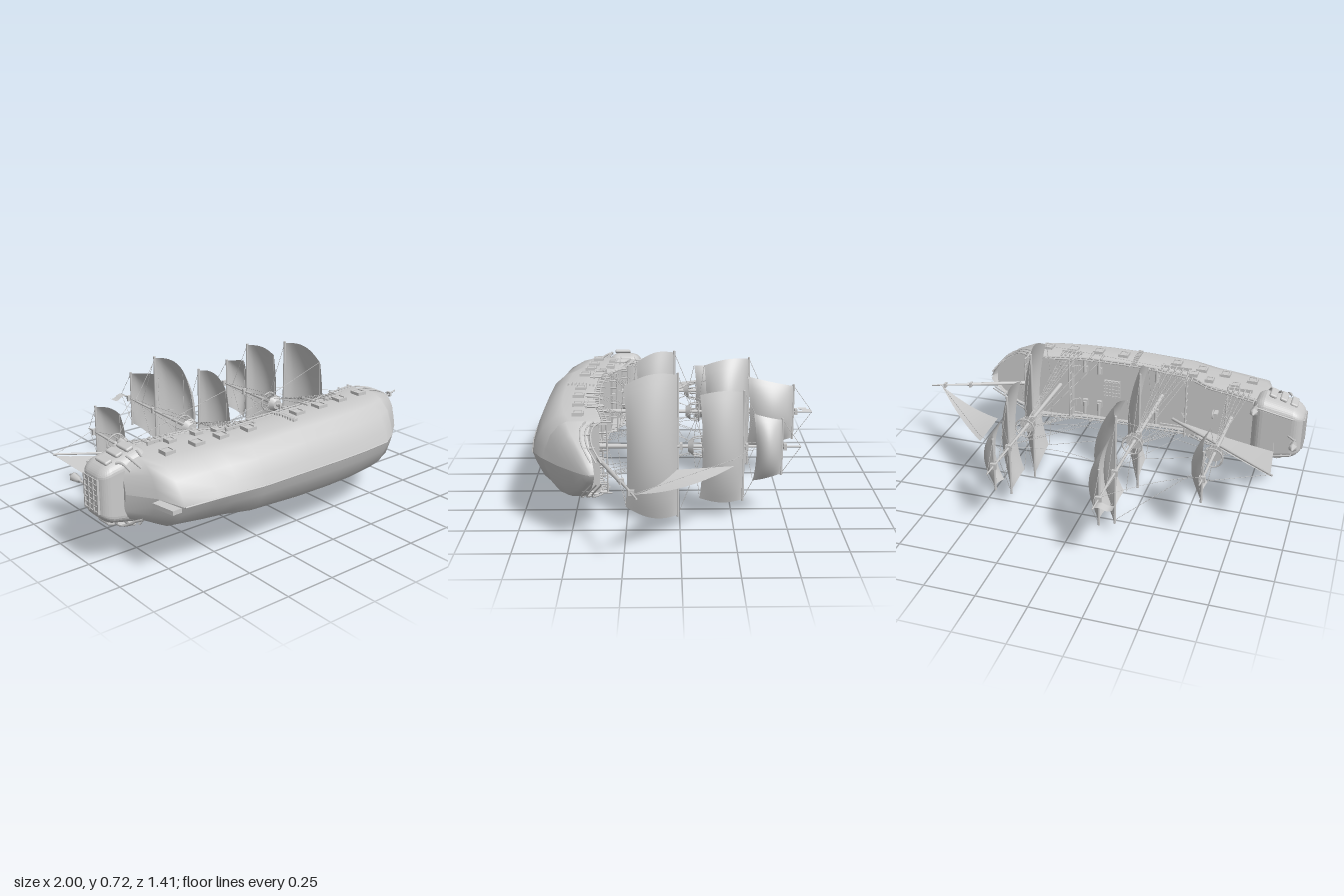
import * as THREE from 'three';
import { RoundedBoxGeometry } from 'three/addons/geometries/RoundedBoxGeometry.js';

// Working frame: x to the bow, y up the masts, z across the beam; laid on its side at the end.
const grey = new THREE.MeshStandardMaterial({ color: 0xcccccc });
const thin = new THREE.MeshStandardMaterial({ color: 0xcccccc, side: THREE.DoubleSide });
const V = (x, y, z) => new THREE.Vector3(x, y, z);
const lerp = THREE.MathUtils.lerp;
const SIDES = [1, -1];

// Hull stations: x, keel height, half beam, top of wall
const STATIONS = [
  [-.89, -.40, .13, -.30], [-.81, -.52, .145, -.26], [-.77, -.66, .152, -.25], [-.6, -.675, .164, -.29],
  [-.5, -.685, .168, -.31], [-.37, -.70, .174, -.39], [-.1, -.70, .185, -.41], [.1, -.70, .187, -.41],
  [.25, -.695, .186, -.40], [.41, -.68, .184, -.365], [.5, -.63, .179, -.35], [.51, -.62, .176, -.40],
  [.6, -.55, .147, -.41], [.67, -.48, .096, -.395], [.715, -.43, .04, -.38], [.73, -.40, .004, -.375]];
// Cross-section: fraction of height, fraction of half beam
const SECTION = [[0, 0], [.055, .27], [.16, .63], [.33, .89], [.48, .99], [.8, 1], [1, .95]];

function station(x) {
  let i = 0;
  while (i < STATIONS.length - 2 && x > STATIONS[i + 1][0]) i++;
  const a = STATIONS[i], b = STATIONS[i + 1];
  const t = THREE.MathUtils.clamp((x - a[0]) / (b[0] - a[0]), 0, 1);
  return a.map((v, k) => lerp(v, b[k], t));
}
function halfAt(x, y) {
  const [, yb, h, top] = station(x);
  const f = THREE.MathUtils.clamp((y - yb) / (top - yb), 0, 1);
  let i = 0;
  while (i < SECTION.length - 2 && f > SECTION[i + 1][0]) i++;
  const a = SECTION[i], b = SECTION[i + 1];
  return h * lerp(a[1], b[1], (f - a[0]) / (b[0] - a[0]));
}

// Surface through a grid of points p(u, v)
function surface(nu, nv, p) {
  const pos = [], idx = [];
  for (let i = 0; i <= nu; i++) for (let j = 0; j <= nv; j++) pos.push(...p(i / nu, j / nv, i, j));
  for (let i = 0; i < nu; i++) for (let j = 0; j < nv; j++) {
    const a = i * (nv + 1) + j, b = a + nv + 1;
    idx.push(a, b, a + 1, b, b + 1, a + 1);
  }
  const g = new THREE.BufferGeometry();
  g.setAttribute('position', new THREE.Float32BufferAttribute(pos, 3));
  g.setIndex(idx);
  g.computeVertexNormals();
  return g;
}

export function createModel() {
  const ship = new THREE.Group();
  ship.name = 'ship';
  const add = (name, geo, mat = grey) => {
    const m = new THREE.Mesh(geo, mat);
    m.name = name;
    ship.add(m);
    return m;
  };
  const box = (name, w, h, d, x, y, z) => {
    const m = add(name, new THREE.BoxGeometry(w, h, d));
    m.position.set(x, y, z);
    return m;
  };
  const rod = (name, a, b, r0, r1 = r0, n = 8) => {
    const m = add(name, new THREE.CylinderGeometry(r1, r0, a.distanceTo(b), n));
    m.position.copy(a).lerp(b, .5);
    m.quaternion.setFromUnitVectors(V(0, 1, 0), b.clone().sub(a).normalize());
    return m;
  };
  const tube = (name, pts, n, r) => add(name, new THREE.TubeGeometry(new THREE.CatmullRomCurve3(pts), n, r, 5));
  const rope = (a, b, sag = 0, r = .0013) => {
    if (!sag) return rod('rope', a, b, r, r, 4);
    const mid = a.clone().lerp(b, .5);
    mid.y -= sag * 2;
    return add('rope', new THREE.TubeGeometry(new THREE.QuadraticBezierCurve3(a, mid, b), 12, r, 4));
  };

  // Hull: one shell per side, meeting in a sharp keel
  for (const s of SIDES) {
    add('hullSide', surface(STATIONS.length - 1, SECTION.length - 1, (u, v, i, j) => {
      const [x, yb, h, top] = STATIONS[i];
      return [x, lerp(yb, top, SECTION[j][0]), s * h * SECTION[j][1]];
    }), thin);
  }
  add('transom', surface(6, 1, (u, v, i) => [-.89, lerp(-.40, -.30, SECTION[i][0]),
    .13 * SECTION[i][1] * (v * 2 - 1)]), thin);
  for (let i = 2; i < 9; i++) {
    const [a, b] = [STATIONS[i], STATIONS[i + 1]];
    rod('keel', V(a[0], a[1], 0), V(b[0], b[1], 0), .004);
  }

  // Decks, and the bulkheads between them with balustrades on top
  for (const [x0, x1, y] of [[-.88, -.6, -.31], [-.6, -.38, -.36], [-.38, .27, -.44], [.27, .51, -.4], [.51, .71, -.42]]) {
    add('deck', surface(8, 1, (u, v) => {
      const x = lerp(x0, x1, u);
      return [x, y, halfAt(x, y) * (v * 2 - 1) * .99];
    }), thin);
  }
  for (const [x, y, h] of [[-.6, -.335, .05], [-.38, -.40, .08], [.27, -.42, .04], [.51, -.395, .06]]) {
    const w = halfAt(x, y) * .97, top = y + h / 2;
    box('bulkhead', .006, h, w * 2, x, y, 0);
    rod('balustradeRail', V(x, top + .035, -w), V(x, top + .035, w), .004);
    for (let k = -4; k <= 4; k++) rod('balustradePost', V(x, top, k * w / 4), V(x, top + .035, k * w / 4), .0035, .0035, 6);
  }
  box('hatch', .09, .012, .1, .05, -.435, 0);
  for (let i = -2; i <= 2; i++) {
    box('hatchGrating', .09, .008, .005, .05, -.427, i * .02);
    box('hatchGrating', .005, .008, .1, .05 + i * .018, -.427, 0);
  }
  for (const [x, top, dir] of [[-.38, -.37, 1], [.27, -.405, -1]]) for (const s of SIDES) for (let i = 0; i < 4; i++)
    box('stair', .012, .006, .04, x + dir * (.008 + i * .01), lerp(top, -.43, i / 3), s * .1);
  rod('helm', V(-.53, -.32, 0), V(-.525, -.32, 0), .025, .025, 10);
  box('helmStand', .02, .05, .012, -.54, -.34, 0);

  // Rails, posts, gun ports, ladder and guns on each side
  for (const s of SIDES) {
    const railPoint = (x, up) => V(x, station(x)[3] + up, s * halfAt(x, station(x)[3]));
    for (const [x0, x1, n] of [[-.74, -.4, 12], [-.37, .25, 18], [.27, .5, 9]]) {
      const pts = [];
      for (let i = 0; i <= n; i++) {
        const x = lerp(x0, x1, i / n);
        pts.push(railPoint(x, .022));
        rod('railPost', railPoint(x, -.01), railPoint(x, i % 3 ? .022 : .04), .004, .004, 6);
      }
      tube('rail', pts, n * 2, .004);
    }
    tube('wale', STATIONS.slice(2, 11).map(a => V(a[0], a[3], s * halfAt(a[0], a[3]))), 50, .005);

    const ports = [[-.70, -.44], [-.555, -.455], [-.43, -.465], [-.29, -.485], [0, -.485], [.14, -.485], [.28, -.475],
      [.42, -.465], [-.625, -.355], [-.49, -.365], [-.40, -.40]];
    ports.forEach(([x, y], k) => {
      const w = k < 8 ? .046 : .036;
      const z = s * (Math.max(halfAt(x - w / 2, y), halfAt(x + w / 2, y), halfAt(x, y - w / 2)) + .005);
      for (const e of SIDES) {
        box('gunPortFrame', w + .008, .008, .018, x, y + e * w / 2, z);
        box('gunPortFrame', .008, w, .018, x + e * w / 2, y, z);
      }
      box('gunPortLid', w * .7, w * .7, .012, x, y, z);
    });
    for (let i = 0; i < 9; i++) {
      const y = -.41 - i * .018;
      box('ladderStep', .026, .007, .016, -.075, y, s * (halfAt(-.075, y) + .003));
    }
    // Curved head rails and posts at the bow
    for (let k = 0; k < 3; k++) {
      tube('headRail', [V(.505, -.355 - k * .034, s * .174), V(.57, -.39 - k * .026, s * .162),
        V(.65, -.39 - k * .022, s * .118), V(.71, -.345 - k * .022, s * .05)], 16, .004);
    }
    for (const [x, y] of [[.53, -.37], [.6, -.39], [.66, -.375]])
      rod('headPost', V(x, y - .06, s * halfAt(x, y)), V(x, y, s * (halfAt(x, y) + .005)), .005);
    for (const x of [-.2, .12, .2]) {
      rod('cannon', V(x, -.42, s * .09), V(x, -.415, s * .16), .012, .008);
      box('cannonCarriage', .026, .018, .04, x, -.43, s * .1);
    }
  }

  // Stern cabin, narrowing aft
  const taper = x => (x < .02 ? 1 + (x - .02) * 2.3 : 1 - (x - .02) * .5);
  const cabin = new RoundedBoxGeometry(.256, .18, .35, 4, .055);
  const cp = cabin.attributes.position;
  for (let i = 0; i < cp.count; i++) cp.setZ(i, cp.getZ(i) * taper(cp.getX(i)));
  cabin.computeVertexNormals();
  add('sternCabin', cabin).position.set(-.866, -.297, 0);
  for (let k = 0; k < 3; k++) {
    for (const s of SIDES) {
      const x = -.935 + k * .053, z = s * (.175 * taper(x + .866) + .002);
      const m = add('galleryWindow', new RoundedBoxGeometry(.038, .085, .018, 2, .008));
      m.position.set(x, -.31, z);
      m.rotation.y = s * -.3;
      tube('galleryBracket', [V(x + .05, -.44, s * .12), V(x + .035, -.39, s * .145), V(x + .02, -.37, z)], 6, .006);
    }
  }
  // Stern window lattice and mouldings
  for (let k = -3; k <= 3; k++) box('sternMullion', .012, .1, .006, -.992, -.297, k * .025);
  for (const y of [-.245, -.28, -.315, -.35]) box('sternMoulding', .014, .007, .16, -.993, y, 0);
  for (const s of SIDES) {
    rod('poopRail', V(-.95, -.195, s * .1), V(-.76, -.195, s * .14), .004);
    for (let k = 0; k < 5; k++) {
      const x = -.95 + k * .0475, z = s * (.1 + k * .01);
      rod('poopPost', V(x, -.23, z), V(x, -.195, z), .0035, .0035, 6);
    }
  }

  // Lanterns
  const lamp = [[0, 0], [.006, 0], [.006, .03], [.014, .035], [.02, .075], [.022, .08], [.01, .094], [.004, .11], [0, .11]]
    .map(p => new THREE.Vector2(...p));
  for (const [x, y, z] of [[-.965, -.18, 0], [-.755, -.24, .13], [-.755, -.24, -.13]])
    add('lantern', new THREE.LatheGeometry(lamp, 6), thin).position.set(x, y, z);
  rod('lanternBracket', V(-.92, -.22, 0), V(-.965, -.17, 0), .005);

  // Rudder
  const rudder = new THREE.Shape([[-.86, -.555], [-.82, -.55], [-.795, -.67], [-.84, -.67]].map(p => new THREE.Vector2(...p)));
  add('rudder', new THREE.ExtrudeGeometry(rudder, { depth: .02, bevelEnabled: false })).position.z = -.01;

  // Masts: base x, top x, top height, shroud feet, deck height
  // Each sail: top, foot, half width at top and foot, belly, side bow
  const MASTS = [
    { n: 'mizzen', x: -.625, tx: -.605, top: .365, foot: [-.71, -.6], sails: [[.295, .095, .13, .15, .075, .01]], deck: -.34 },
    { n: 'main', x: -.225, tx: -.2, top: .70, foot: [-.37, -.23],
      sails: [[-.02, -.215, .317, .265, .085, .03], [.365, .135, .285, .255, .14, .02], [.6, .36, .14, .195, .085, 0]], deck: -.44 },
    { n: 'fore', x: .335, tx: .355, top: .57, foot: [.23, .32],
      sails: [[-.008, -.257, .348, .3, .09, .03], [.3, .095, .265, .255, .075, .015], [.48, .345, .132, .165, .08, 0]], deck: -.40 }];
  for (const m of MASTS) {
    const at = (y, z = 0) => V(lerp(m.x, m.tx, (y + .4) / (m.top + .4)), y, z);
    rod(m.n + 'Mast', at(m.deck), at(.1), .012, .009, 10);
    rod(m.n + 'Topmast', at(.05), at(m.top), .009, .004, 8);
    // Lookout: platform, rail and posts
    const c = at(.065);
    rod('lookoutFloor', at(.04), at(.065), .025, .045, 12);
    const hoop = add('lookoutRail', new THREE.TorusGeometry(.05, .004, 5, 16));
    hoop.rotation.x = Math.PI / 2;
    hoop.position.set(c.x, .108, 0);
    for (let i = 0; i < 10; i++) {
      const a = i * Math.PI / 5, dx = Math.cos(a), dz = Math.sin(a);
      rod('lookoutPost', V(c.x + dx * .043, .062, dz * .043), V(c.x + dx * .05, .108, dz * .05), .003, .003, 5);
    }
    // Square sails hung from yards, full at the head and still forward at the foot
    for (const [t, f, wt, wf, belly, bow] of m.sails) {
      const p = at(t), x0 = p.x + .002;
      box('mastCap', .03, .014, .03, p.x, t + .015, 0);
      rod('yard', V(x0, t, -wt - .008), V(x0, t, wt + .008), .006);
      add('squareSail', surface(14, 14, (u, v) => {
        const k = u * 2 - 1, w = lerp(wt, wf, v) + bow * Math.sin(Math.PI * v);
        const fill = Math.sin(Math.PI * v * .86) ** .65;
        return [x0 + belly * fill * (1 - .75 * k * k), lerp(t, f, v) + .012 * v * (1 - k * k), k * w];
      }), thin);
      for (const s of SIDES) {
        rope(V(x0, t, s * wt), at(Math.min(t + .13, m.top)));
        rope(V(x0 + .01, f, s * wf), at(f - .03, s * .02));
      }
    }
    // Shrouds with ratlines
    for (const s of SIDES) {
      const feet = [0, 1, 2, 3, 4].map(i => {
        const x = lerp(...m.foot, i / 4);
        return V(x, station(x)[3] - .02, s * (halfAt(x, station(x)[3]) + .012));
      });
      const head = at(.05, s * .03);
      for (const p of feet) {
        rope(p, head);
        rod('deadeye', p.clone().add(V(0, -.035, 0)), p.clone().add(V(0, .025, 0)), .005, .005, 6);
      }
      box('channel', m.foot[1] - m.foot[0] + .02, .008, .025, (m.foot[0] + m.foot[1]) / 2, feet[2].y - .02, feet[2].z - s * .005);
      for (let k = 1; k < 15; k++)
        rope(feet[0].clone().lerp(head, k / 16), feet[4].clone().lerp(head, k / 16), 0, .001);
      rope(at(.1, s * .045), at(m.top - .06));
    }
  }

  // Lateen sail on its slanting spar, and the jib, bellied to one side
  const triangle = (name, a, b, c, belly) => add(name, surface(10, 10, (u, v) => {
    const p = a.clone().lerp(b.clone().lerp(c, v), u);
    return [p.x, p.y, p.z + belly * 4 * u * (1 - u * .8) * (1 - v * .3)];
  }), thin);
  const tack = V(-.34, -.21, 0);
  rod('lateenSpar', V(-.91, .182, 0), tack, .005, .008);
  triangle('lateenSail', tack, V(-.9, .175, 0), V(-.875, -.1, -.03), -.012);
  triangle('jib', V(.95, -.2, 0), V(.53, .245, 0), V(.545, -.015, -.02), -.04);
  rope(V(-.875, -.1, -.03), V(-.86, -.22, -.05));

  // Bowsprit
  rod('bowsprit', V(.51, -.37, 0), V(.82, -.253, 0), .011, .009);
  rod('jibBoom', V(.75, -.275, 0), V(1, -.185, 0), .007, .004);
  for (const x of [.8, .93]) box('bowspritCap', .012, .025, .025, x, -.255 + (x - .8) * .36, 0);

  // Pennant
  add('flag', surface(10, 3, (u, v) => [-.2 - .085 * u, .695 - .045 * v - .015 * u, .008 * Math.sin(u * 6)]), thin);

  // Stays between the masts, to the bow, and braces from the yards
  rope(V(-.2, .6, 0), V(-.61, .29, 0), .04);
  rope(V(-.2, .37, 0), V(.355, .32, 0), .075);
  rope(V(-.21, .08, 0), V(.345, .08, 0), .08);
  rope(V(.36, .35, 0), V(.53, .245, 0));
  rope(V(.53, .245, 0), V(.95, -.2, 0));
  rope(V(-.605, .33, 0), V(-.9, .175, 0));
  for (const s of SIDES) {
    rope(V(.36, -.25, s * .3), V(-.42, -.41, s * .175));
    rope(V(-.2, -.21, s * .265), V(-.87, -.25, s * .14));
    rope(V(-.2, .365, s * .28), V(-.61, .1, s * .03));
    rope(V(-.205, .33, 0), V(-.38, -.36, s * .17));
    for (const x of [.1, .16]) {
      rope(V(.345, .28, 0), V(x, -.39, s * .185));
      rod('deadeye', V(x, -.45, s * .193), V(x, -.385, s * .19), .005, .005, 6);
    }
  }

  // Lay the ship on its side
  ship.rotation.x = -Math.PI / 2;
  ship.position.y = .365;
  const model = new THREE.Group();
  model.name = 'sailingShip';
  model.add(ship);
  return model;
}
